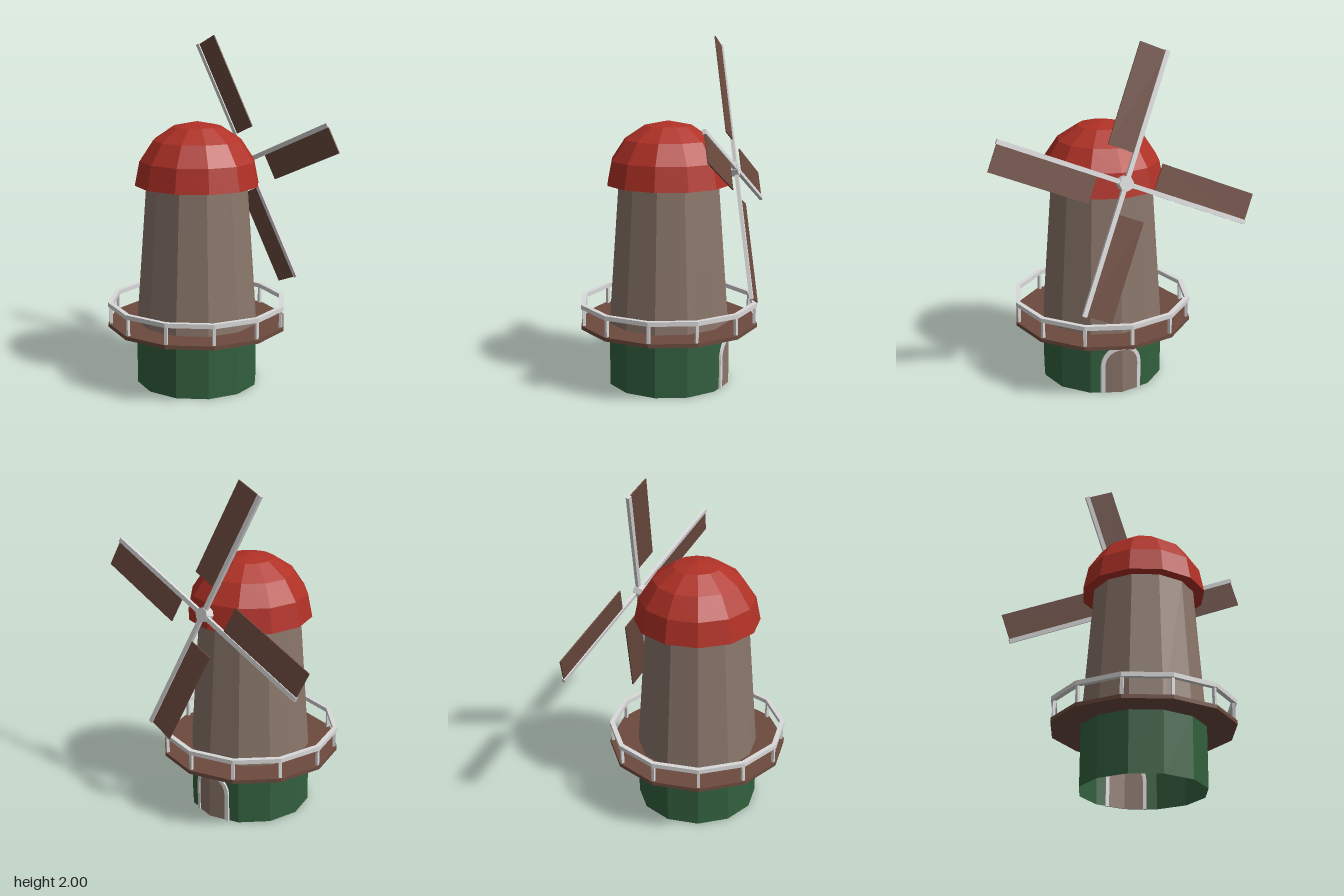
import * as THREE from 'three';

const SIDES = 12;

function material(name, color) {
  const m = new THREE.MeshStandardMaterial({ color, flatShading: true, side: THREE.DoubleSide });
  m.name = name;
  return m;
}

function add(parent, name, geometry, mat, x = 0, y = 0, z = 0) {
  const mesh = new THREE.Mesh(geometry, mat);
  mesh.name = name;
  mesh.position.set(x, y, z);
  parent.add(mesh);
  return mesh;
}

// Twelve-sided ring with a rectangular section
function ring(inner, outer, y0, y1) {
  const profile = [[inner, y0], [outer, y0], [outer, y1], [inner, y1], [inner, y0]];
  return new THREE.LatheGeometry(profile.map(p => new THREE.Vector2(...p)), SIDES);
}

// Half of an arch (inner = 0 gives a solid panel), on the given side of the centre line
function halfArch(inner, outer, springY, side, depth) {
  const points = [];
  const steps = 6;
  const arc = (r, i) => {
    const a = (i / steps) * Math.PI / 2;
    points.push(new THREE.Vector2(side * r * Math.cos(a), springY + r * Math.sin(a)));
  };
  points.push(new THREE.Vector2(side * inner, 0), new THREE.Vector2(side * outer, 0));
  for (let i = 0; i <= steps; i++) arc(outer, i);
  if (inner > 0) for (let i = steps; i >= 0; i--) arc(inner, i);
  const geometry = new THREE.ExtrudeGeometry(new THREE.Shape(points), { depth, bevelEnabled: false });
  // Fold the arch around the corner of the wall, facing +x
  const p = geometry.attributes.position;
  for (let i = 0; i < p.count; i++) {
    const u = p.getX(i);
    p.setXYZ(i, p.getZ(i) - 0.003 - Math.abs(u) * Math.tan(Math.PI / 12), p.getY(i), -u);
  }
  geometry.computeVertexNormals();
  return geometry;
}

export function createModel() {
  const red = material('roof red', 0xb03126);
  const green = material('base green', 0x33603f);
  const tan = material('wall tan', 0x8a766a);
  const brown = material('wood brown', 0x6d4b3f);
  const white = material('trim white', 0xd9d9d9);

  const model = new THREE.Group();
  model.name = 'windmill';
  const building = new THREE.Group();
  building.name = 'building';
  building.position.x = -0.015;
  model.add(building);

  // Walls and roof
  add(building, 'base', new THREE.CylinderGeometry(0.355, 0.355, 0.35, SIDES, 1, true), green, 0, 0.175);
  add(building, 'tower', new THREE.CylinderGeometry(0.295, 0.355, 0.82, SIDES, 1, true), tan, 0, 0.76);
  add(building, 'roof', new THREE.SphereGeometry(0.36, SIDES, 4, 0, Math.PI * 2, 0, Math.PI / 2), red, 0, 1.17);
  const eaves = add(building, 'eaves', new THREE.CircleGeometry(0.36, SIDES), red, 0, 1.17);
  eaves.rotation.x = Math.PI / 2;

  // Balcony
  add(building, 'deck', ring(0.33, 0.523, 0.345, 0.367), brown);
  add(building, 'handrail', ring(0.495, 0.523, 0.465, 0.49), white);
  for (let i = 0; i < SIDES; i++) {
    const a = (i / SIDES) * Math.PI * 2;
    const post = add(building, 'railPost', new THREE.BoxGeometry(0.017, 0.102, 0.017), white,
      0.506 * Math.sin(a), 0.416, 0.506 * Math.cos(a));
    post.rotation.y = a;
  }

  // Door, folded around the wall corner
  const door = new THREE.Group();
  door.name = 'door';
  door.position.x = 0.355;
  building.add(door);
  for (const side of [-1, 1]) {
    add(door, 'doorPanel', halfArch(0, 0.1, 0.17, side, 0.007), tan);
    add(door, 'doorFrame', halfArch(0.098, 0.12, 0.17, side, 0.014), white);
  }

  // Rotor, leaning back with its axle along local x
  const rotor = new THREE.Group();
  rotor.name = 'rotor';
  rotor.position.set(0.376, 1.265, 0);
  rotor.rotation.z = 0.2;
  model.add(rotor);
  const hub = add(rotor, 'hub', new THREE.CylinderGeometry(0.042, 0.042, 0.055, 8), white, -0.013);
  hub.rotation.z = Math.PI / 2;
  for (let i = 0; i < 4; i++) {
    const blade = new THREE.Group();
    blade.name = 'blade';
    blade.rotation.x = -0.393 + i * Math.PI / 2;
    rotor.add(blade);
    add(blade, 'arm', new THREE.BoxGeometry(0.02, 0.75, 0.026), white, 0, 0.375);
    add(blade, 'sail', new THREE.BoxGeometry(0.007, 0.575, 0.165), brown, 0, 0.458, 0.0825);
  }
  return model;
}
